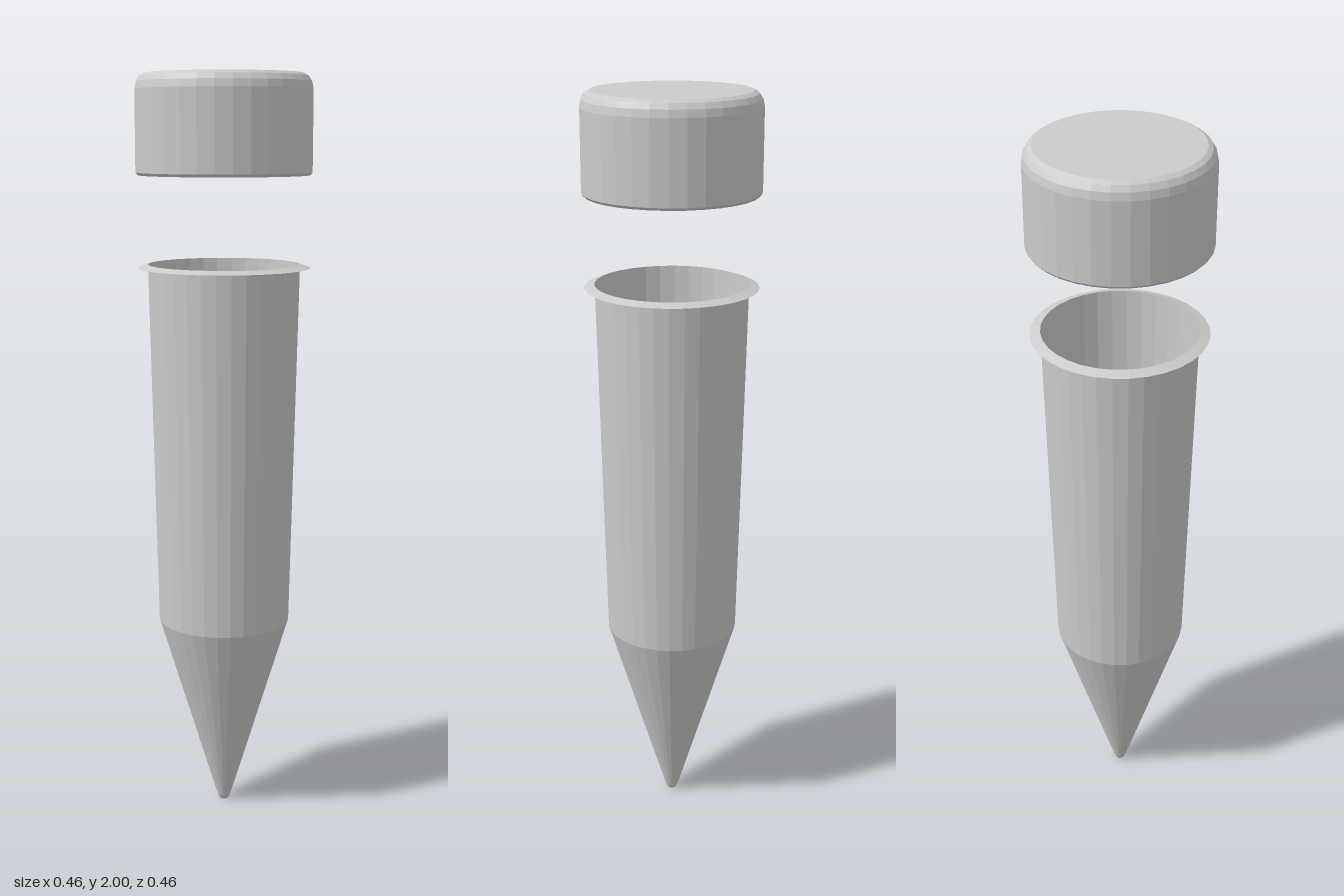
import * as THREE from 'three';

const SIDES = 32;

// Turned part from a bottom-to-top list of [radius, height] points
function turned(name, profile, side = THREE.FrontSide) {
  const points = profile.map(([r, y]) => new THREE.Vector2(r, y));
  const material = new THREE.MeshStandardMaterial({ color: 0xcccccc, flatShading: true, side });
  const mesh = new THREE.Mesh(new THREE.LatheGeometry(points, SIDES), material);
  mesh.name = name;
  return mesh;
}

export function createModel() {
  const group = new THREE.Group();
  group.name = 'cappedTube';

  // Thin open tube: blunt tip, cone and slightly widening wall
  group.add(turned('tubeBody', [
    [0, 0], [0.012, 0], [0.018, 0.012], [0.178, 0.54], [0.2, 1.513],
  ], THREE.DoubleSide));

  // Thin lip sloping down and out from the mouth
  group.add(turned('tubeLip', [[0.227, 1.504], [0.2, 1.513]], THREE.DoubleSide));

  // Solid cap floating above the mouth, with a rounded top edge
  group.add(turned('cap', [
    [0, 1.743], [0.224, 1.743], [0.23, 1.75], [0.23, 1.96],
    [0.226, 1.979], [0.217, 1.993], [0.205, 2], [0, 2],
  ]));

  return group;
}
